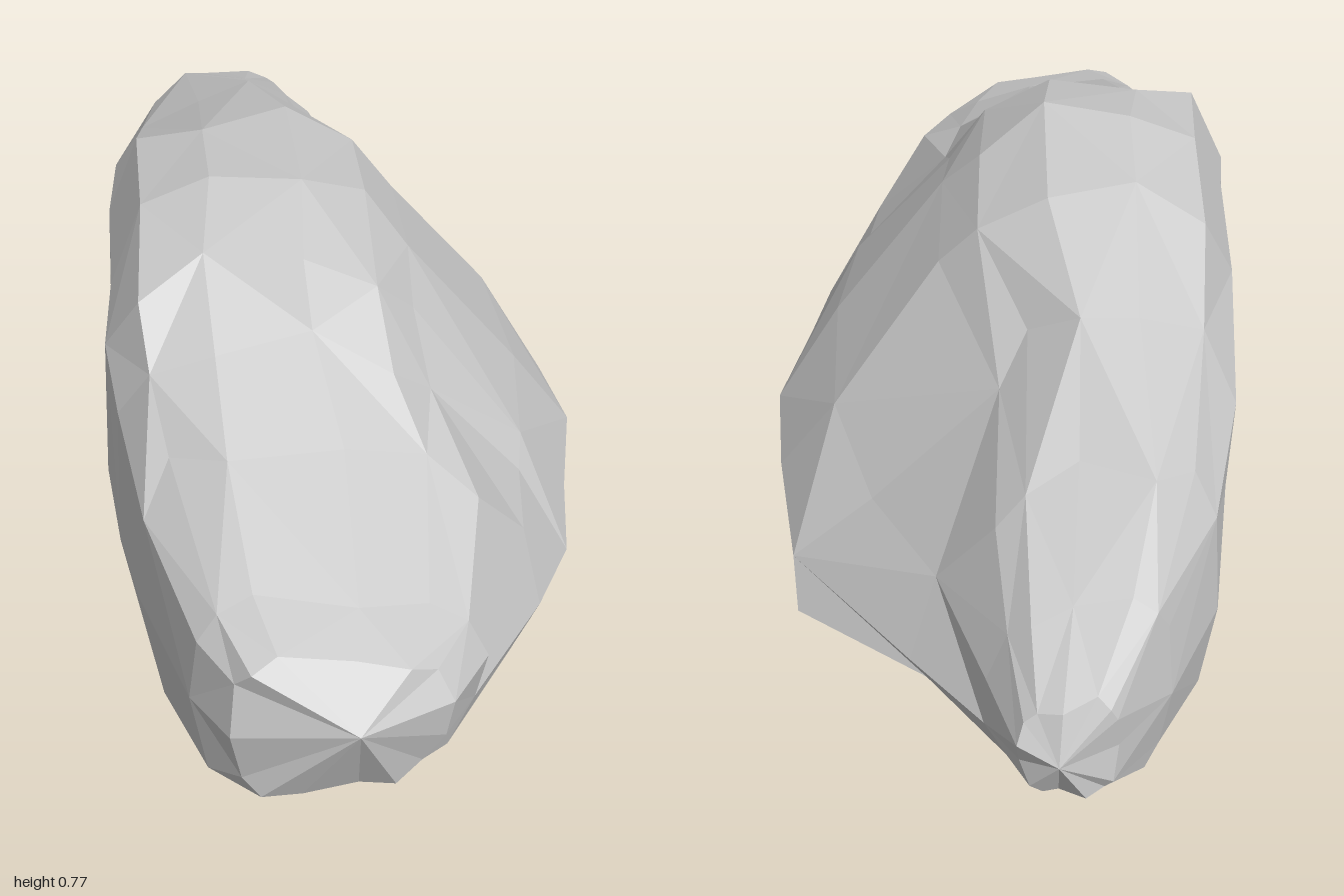
import * as THREE from 'three';

// Outlines in a unit square: along the bottom, up the +x side, over the top, down the -x side
const roundOutline = [
  [0.05, 0.12], [0.13, 0.02], [0.32, 0], [0.58, 0], [0.74, 0.04],
  [0.87, 0.13], [0.97, 0.33], [1, 0.6], [0.93, 0.78], [0.8, 0.87],
  [0.56, 0.93], [0.22, 1], [0.1, 0.94], [0.03, 0.82], [0, 0.48],
];
const slopedOutline = [
  [0.04, 0.08], [0.12, 0.01], [0.45, 0.015], [0.77, 0], [0.92, 0.02],
  [0.97, 0.09], [1, 0.23], [0.86, 0.46], [0.62, 0.8], [0.54, 0.91],
  [0.4, 1], [0.22, 0.99], [0.08, 0.93], [0.01, 0.77], [0, 0.42],
];
// Cross-sections from back to front: z, left x, right x, bottom y, top y, slope of the shoulder
const sections = [
  [-0.96, -0.13, 0.02, 0.22, 0.4, 0],
  [-0.82, -0.22, 0.07, 0.13, 0.47, 0.25],
  [-0.62, -0.31, 0.18, 0.08, 0.56, 0.7],
  [-0.36, -0.36, 0.37, 0.04, 0.66, 1.3],
  [-0.12, -0.39, 0.41, 0, 0.75, 0.95],
  [0.12, -0.4, 0.42, 0.02, 0.77, 1],
  [0.31, -0.42, 0.37, 0.03, 0.73, 0.9],
  [0.42, -0.41, 0.34, 0.04, 0.64, 0.8],
  [0.58, -0.39, 0.27, 0.05, 0.56, 0.4],
  [0.82, -0.33, 0.12, 0.1, 0.47, 0],
  [0.92, -0.28, 0.05, 0.17, 0.44, 0],
];
const backTip = [-0.04, 0.31, -1];
const frontTip = [-0.1, 0.35, 1];
const mix = THREE.MathUtils.lerp;

function createStone() {
  // Blend the outlines, fit each to its section and stagger along z for chipped facets
  const rings = sections.map(([z, left, right, bottom, top, slope], k) => {
    const stagger = Math.abs(z) > 0.8 ? 0.012 : 0.035;
    return roundOutline.map(([u, v], j) => [
      mix(left, right, mix(u, slopedOutline[j][0], slope)),
      mix(bottom, top, mix(v, slopedOutline[j][1], slope)),
      z + stagger * Math.sin(j * 2.4 + k * 1.7),
    ]);
  });
  const first = rings[0];
  const last = rings[rings.length - 1];
  const positions = [];
  const tri = (a, b, c) => positions.push(...a, ...b, ...c);

  for (let j = 0; j < first.length; j++) {
    const next = (j + 1) % first.length;
    // Pointed ends
    tri(backTip, first[next], first[j]);
    tri(last[j], last[next], frontTip);
    // Faceted skin with alternating diagonals
    for (let k = 0; k < rings.length - 1; k++) {
      const a = rings[k][j], b = rings[k][next];
      const c = rings[k + 1][next], d = rings[k + 1][j];
      if ((j + k) % 2) {
        tri(a, b, c);
        tri(a, c, d);
      } else {
        tri(a, b, d);
        tri(b, c, d);
      }
    }
  }
  const geometry = new THREE.BufferGeometry();
  geometry.setAttribute('position', new THREE.Float32BufferAttribute(positions, 3));
  geometry.computeVertexNormals();
  return geometry;
}

export function createModel() {
  const group = new THREE.Group();
  group.name = 'rock';
  const stone = new THREE.Mesh(
    createStone(),
    new THREE.MeshStandardMaterial({ color: 0xcccccc, flatShading: true })
  );
  stone.name = 'stone';
  group.add(stone);
  return group;
}
